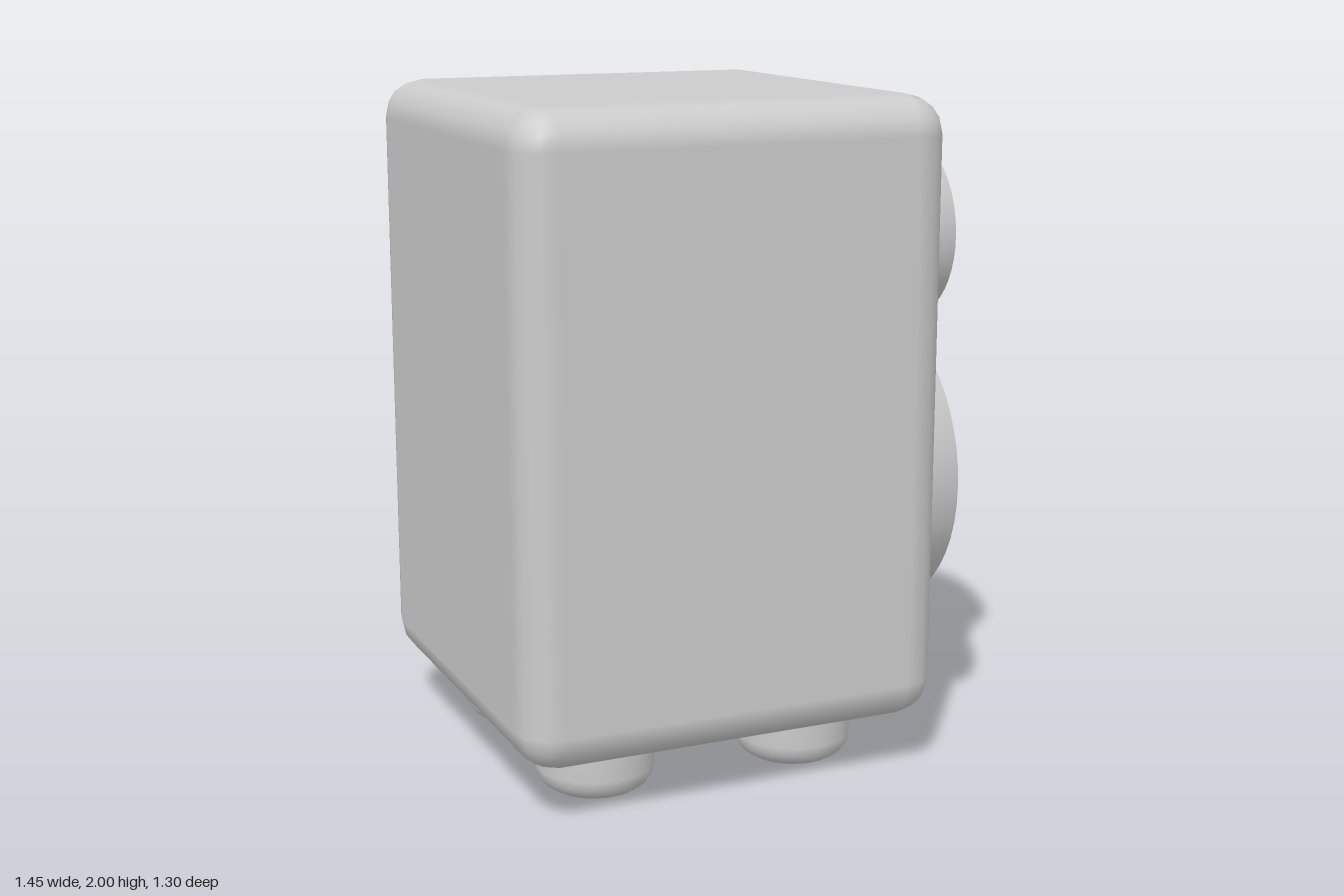
import * as THREE from 'three';
import { RoundedBoxGeometry } from 'three/addons/geometries/RoundedBoxGeometry.js';

const material = new THREE.MeshStandardMaterial({ color: 0xcccccc, side: THREE.DoubleSide });
const lathe = (points, segments = 48) =>
  new THREE.LatheGeometry(points.map(([r, y]) => new THREE.Vector2(r, y)), segments);

function addMesh(parent, name, geometry) {
  const mesh = new THREE.Mesh(geometry, material);
  mesh.name = name;
  parent.add(mesh);
  return mesh;
}

// Driver: straight-sided rim, dished cone and domed cap, turned to face +x
function speaker(name, r, h) {
  const group = new THREE.Group();
  group.name = name;
  addMesh(group, 'rimAndCone', lathe([
    [r, -0.02], [r, h], [0.9 * r, h], [0.82 * r, 0.78 * h],
    [0.72 * r, 0.55 * h], [0.55 * r, 0.4 * h], [0.38 * r, 0.32 * h], [0, 0.3 * h],
  ].reverse()));
  const cap = [];
  for (let i = 0; i <= 8; i++) {
    const a = (i / 8) * Math.PI / 2;
    cap.push([0.415 * r * Math.sin(a), h * (0.32 + 0.4 * Math.cos(a))]);
  }
  addMesh(group, 'domeCap', lathe(cap));
  group.rotation.z = -Math.PI / 2;
  return group;
}

export function createModel() {
  const model = new THREE.Group();
  model.name = 'loudspeaker';
  const centreX = -0.082, faceX = 0.565;

  // Cabinet with rounded edges
  addMesh(model, 'cabinet', new RoundedBoxGeometry(1.295, 1.83, 1.3, 2, 0.115))
    .position.set(centreX, 1.085, 0);

  // Three drivers: name, y, z, radius, depth
  for (const [name, y, z, r, h] of [
    ['woofer', 0.81, 0, 0.447, 0.16],
    ['midrange', 1.577, 0.233, 0.265, 0.096],
    ['tweeter', 1.465, -0.297, 0.184, 0.066],
  ]) {
    const driver = speaker(name, r, h);
    driver.position.set(faceX, y, z);
    model.add(driver);
  }

  // Four feet with rounded lower edges
  const profile = [[0, 0]];
  for (let i = 0; i <= 4; i++) {
    const a = (i / 4) * Math.PI / 2;
    profile.push([0.105 + 0.07 * Math.sin(a), 0.07 - 0.07 * Math.cos(a)]);
  }
  profile.push([0.175, 0.19]);
  const footGeometry = lathe(profile, 32);
  for (const sx of [-1, 1]) {
    for (const sz of [-1, 1]) {
      addMesh(model, 'foot', footGeometry)
        .position.set(centreX + sx * 0.322, 0, sz * 0.316);
    }
  }
  return model;
}
